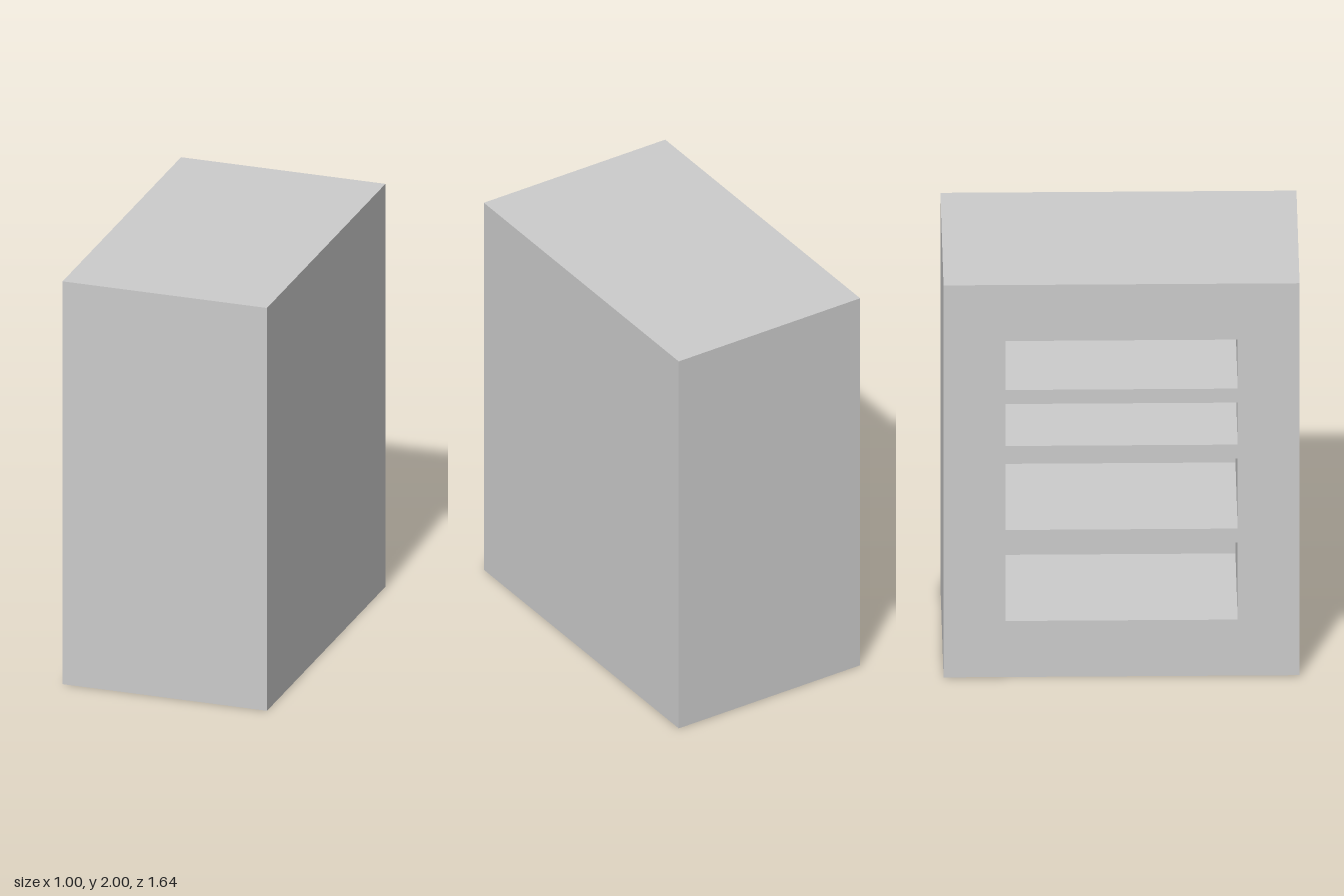
import * as THREE from 'three';

// One module unit; the cabinet is 14 x 28 x 23 units
const U = 1 / 14;
const W = 14 * U, H = 28 * U, D = 23 * U;
const MARGIN = 4 * U, SHELF = U;
const CAVITY_DEPTH = 10 * U, CAVITY_WIDTH = 15 * U;
const CAVITY_HEIGHTS = [5.5, 5, 3, 3.5].map((h) => h * U); // bottom to top

// Box without its -x side
function openBox(w, h, d) {
  const geo = new THREE.BoxGeometry(w, h, d);
  const index = Array.from(geo.index.array);
  index.splice(6, 6);
  geo.setIndex(index);
  geo.clearGroups();
  return geo;
}

// Turns a geometry inside out so that it shows from within
function invert(geo) {
  geo.setIndex(Array.from(geo.index.array).reverse());
  const n = geo.attributes.normal;
  for (let i = 0; i < n.count; i++) n.setXYZ(i, -n.getX(i), -n.getY(i), -n.getZ(i));
  return geo;
}

// Rectangle outline centred on x = 0
function rectangle(target, width, y, height) {
  const w = width / 2;
  target.moveTo(-w, y);
  target.lineTo(w, y);
  target.lineTo(w, y + height);
  target.lineTo(-w, y + height);
  target.closePath();
  return target;
}

export function createModel() {
  const model = new THREE.Group();
  model.name = 'cabinet';
  const material = new THREE.MeshStandardMaterial({ color: 0xcccccc });

  const add = (name, geometry) => {
    const mesh = new THREE.Mesh(geometry, material);
    mesh.name = name;
    model.add(mesh);
    return mesh;
  };

  // Outer shell: all sides but the open one
  add('shell', openBox(W, H, D).translate(0, H / 2, 0));

  // Compartments stacked upward, each cutting a hole in the open side
  const side = rectangle(new THREE.Shape(), D, 0, H);
  let y = MARGIN;
  CAVITY_HEIGHTS.forEach((height, i) => {
    side.holes.push(rectangle(new THREE.Path(), CAVITY_WIDTH, y, height));
    const cavity = invert(openBox(CAVITY_DEPTH, height, CAVITY_WIDTH));
    add(`compartment${i + 1}`, cavity.translate((CAVITY_DEPTH - W) / 2, y + height / 2, 0));
    y += height + SHELF;
  });

  // Framed side facing -x
  add('openSide', new THREE.ShapeGeometry(side).rotateY(-Math.PI / 2).translate(-W / 2, 0, 0));

  return model;
}
